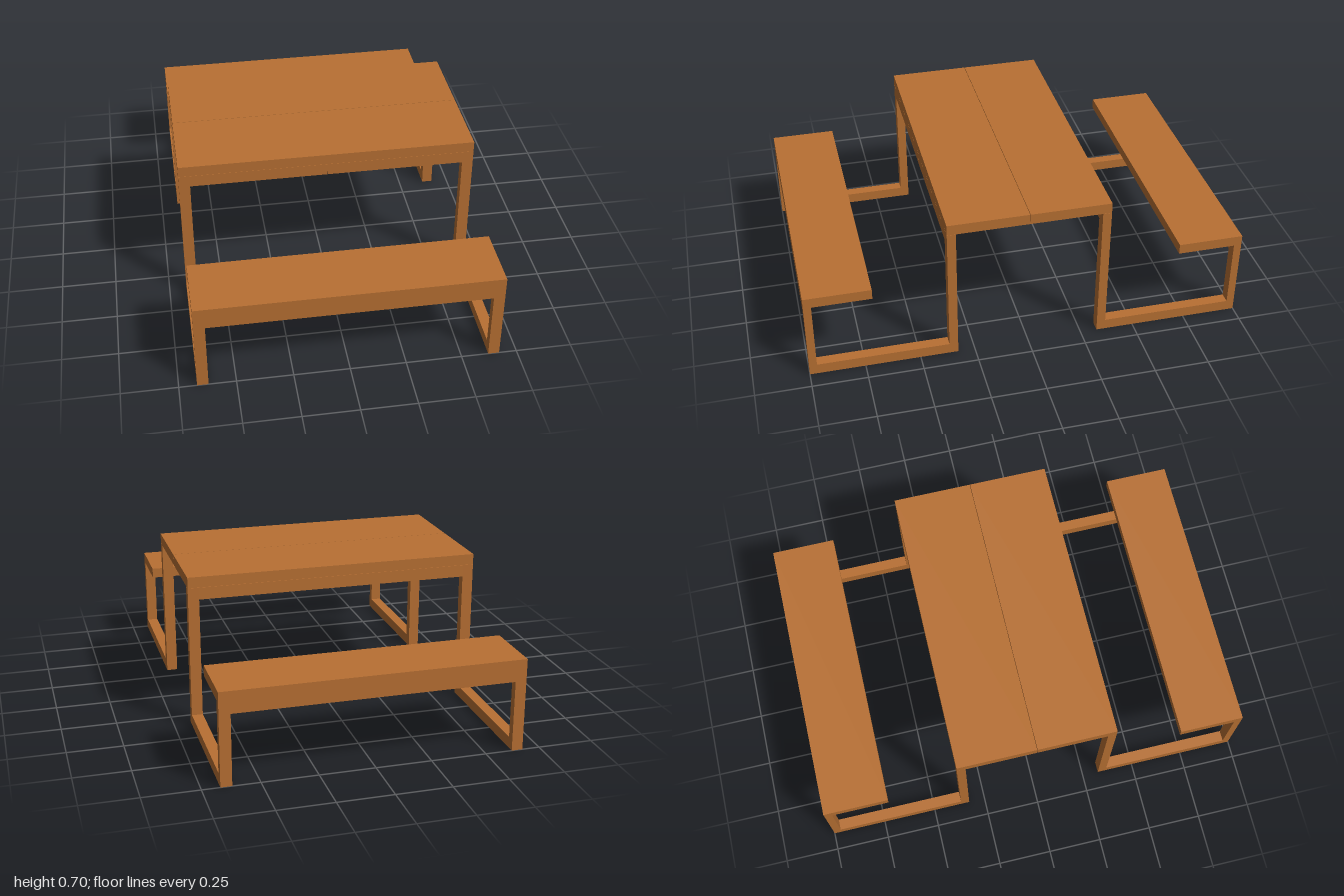
import * as THREE from 'three';

export function createModel() {
  const model = new THREE.Group();
  model.name = 'picnicTable';
  const wood = new THREE.MeshStandardMaterial({ color: 0xb87033 });

  // Box given by its min and max on each axis
  function board(parent, name, [x0, x1], [y0, y1], [z0, z1]) {
    const mesh = new THREE.Mesh(new THREE.BoxGeometry(x1 - x0, y1 - y0, z1 - z0), wood);
    mesh.position.set((x0 + x1) / 2, (y0 + y1) / 2, (z0 + z1) / 2);
    mesh.name = name;
    parent.add(mesh);
  }

  const W = 0.671;       // half length of the table
  const POST = 0.05;     // post width along x
  const GAP = 0.001;     // half of the joint between boards
  const full = [-W, W];
  const tableEdge = [0.327, 0.367];
  const benchEdge = [0.965, 1];

  // One half: table plank, bench and their frame; the other is turned round
  function makeHalf(name) {
    const half = new THREE.Group();
    half.name = name;
    board(half, 'tabletopPlank', full, [0.656, 0.705], [GAP, 0.367]);
    board(half, 'benchSeat', full, [0.375, 0.423], [0.7, 1]);
    board(half, 'benchApron', [-W + POST, W - POST], [0.323, 0.375], benchEdge);

    for (const side of [-1, 1]) {
      const label = side > 0 ? 'left' : 'right';
      const span = (a, b) => (side > 0 ? [a, b] : [-b, -a]);
      const post = span(W - POST, W);
      board(half, label + 'TableApron', span(GAP, W - POST), [0.6, 0.655], tableEdge);
      board(half, label + 'TableLeg', post, [0.05, 0.655], tableEdge);
      board(half, label + 'BenchLeg', post, [0.05, 0.375], benchEdge);
      board(half, label + 'FloorRunner', post, [0, 0.05], [0.327, 1]);
    }
    return half;
  }

  const front = makeHalf('frontHalf');
  const back = makeHalf('backHalf');
  back.rotation.y = Math.PI;
  model.add(front, back);
  return model;
}
